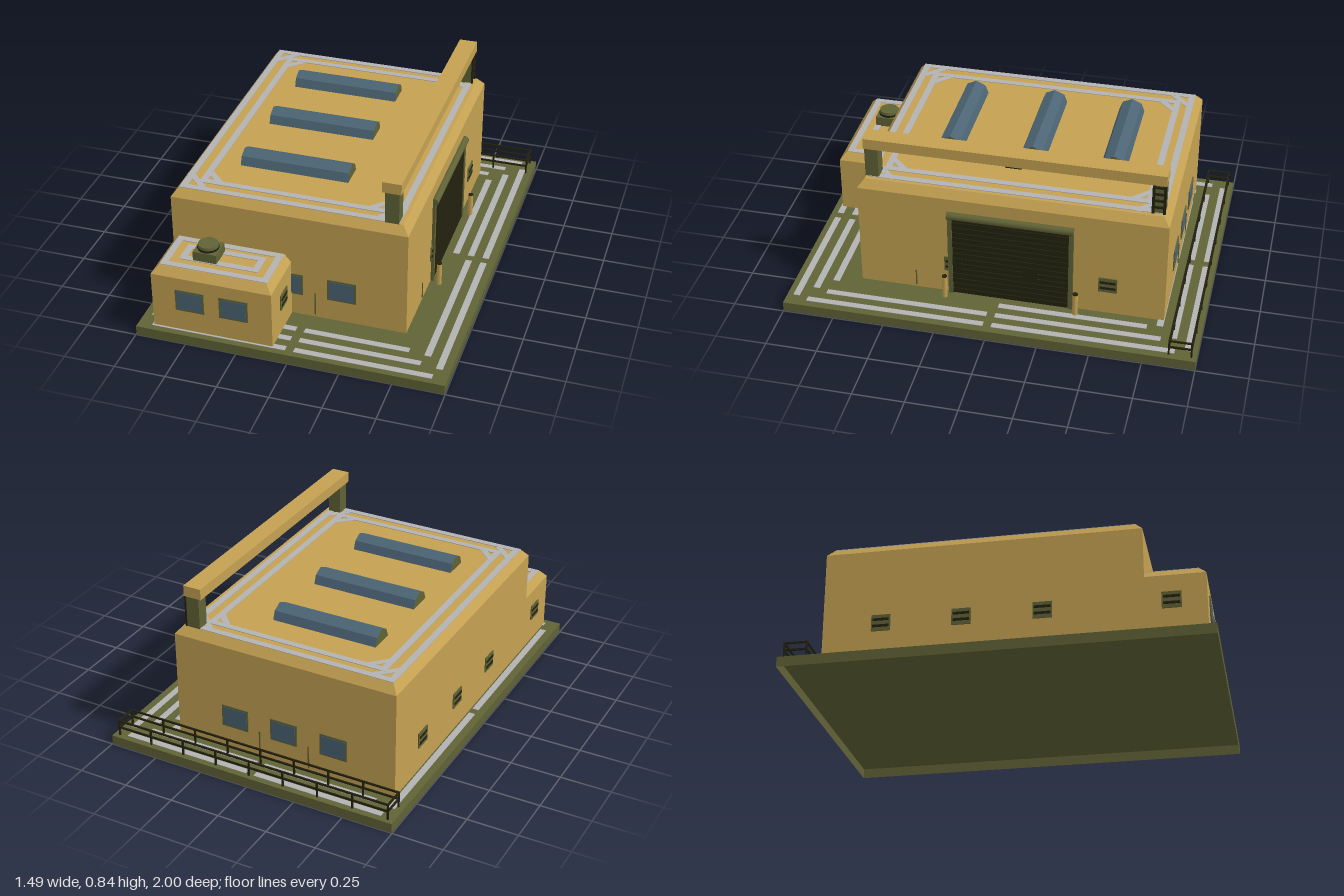
import * as THREE from 'three';

export function createModel() {
  const root = new THREE.Group();
  root.name = 'workshopBuilding';
  const mat = (name, color) => {
    const m = new THREE.MeshStandardMaterial({ color });
    m.name = name;
    return m;
  };
  const tan = mat('tanWall', 0xc4a152);
  const olive = mat('oliveTrim', 0x606236);
  const slabOlive = mat('oliveSlab', 0x606236);
  slabOlive.side = THREE.DoubleSide;
  const blue = mat('blueGlass', 0x4b6474);
  const grey = mat('greyPaint', 0xb2b2b2);
  const dark = mat('darkMetal', 0x22210e);

  const add = (name, geo, m, parent = root) => {
    const mesh = new THREE.Mesh(geo, m);
    mesh.name = name;
    parent.add(mesh);
    return mesh;
  };
  // box given by its limits
  const box = (name, m, x0, x1, y0, y1, z0, z1, parent = root) => {
    const g = new THREE.BoxGeometry(x1 - x0, y1 - y0, z1 - z0);
    g.translate((x0 + x1) / 2, (y0 + y1) / 2, (z0 + z1) / 2);
    return add(name, g, m, parent);
  };
  const group = (name) => {
    const g = new THREE.Group();
    g.name = name;
    root.add(g);
    return g;
  };
  // walls with a sloped roof edge
  const block = (name, x0, x1, y0, yEdge, y1, z0, z1, inset) => {
    const g = group(name);
    box(name + 'Walls', tan, x0, x1, y0, yEdge, z0, z1, g);
    const cap = new THREE.BoxGeometry(x1 - x0, y1 - yEdge, z1 - z0);
    const p = cap.attributes.position;
    for (let i = 0; i < p.count; i++) {
      if (p.getY(i) > 0) {
        p.setX(i, p.getX(i) - Math.sign(p.getX(i)) * inset);
        p.setZ(i, p.getZ(i) - Math.sign(p.getZ(i)) * inset);
      }
    }
    cap.computeVertexNormals();
    cap.translate((x0 + x1) / 2, (yEdge + y1) / 2, (z0 + z1) / 2);
    add(name + 'RoofEdge', cap, tan, g);
  };
  // flat painted rectangle outline
  const ring = (name, x0, x1, z0, z1, y, w = 0.032) => {
    const g = group(name), t = y + 0.003;
    box('stripe', grey, x0, x1, y, t, z0, z0 + w, g);
    box('stripe', grey, x0, x1, y, t, z1 - w, z1, g);
    box('stripe', grey, x0, x0 + w, y, t, z0 + w, z1 - w, g);
    box('stripe', grey, x1 - w, x1, y, t, z0 + w, z1 - w, g);
    return g;
  };

  // slab, hollow and open underneath
  const slab = new THREE.BoxGeometry(1.494, 0.0495, 2);
  const faces = Array.from(slab.index.array);
  faces.splice(18, 6);
  slab.setIndex(faces);
  slab.clearGroups();
  add('baseSlab', slab, slabOlive).position.y = 0.02475;

  // ground stripes: nested rows, each with a gap in the middle
  const ground = group('groundStripes');
  for (let i = 0; i < 3; i++) {
    const xo = 0.71 - i * 0.075, zo = 0.97 - i * 0.077;
    for (const s of [-1, 1]) {
      for (const h of [-1, 1]) {
        const xe = h * (xo - 0.032), ze = h * (zo - 0.075);
        box('crossStripe', grey, Math.min(h * 0.02, xe), Math.max(h * 0.02, xe), 0.05, 0.052,
          s * (zo - 0.016) - 0.016, s * (zo - 0.016) + 0.016, ground);
        if (i === 2 && s > 0 && h > 0) continue;
        box('longStripe', grey, s * (xo - 0.016) - 0.016, s * (xo - 0.016) + 0.016, 0.05, 0.052,
          Math.min(h * 0.02, ze), Math.max(h * 0.02, ze), ground);
      }
    }
  }

  // hall and annex
  block('hall', -0.67, 0.48, 0.05, 0.59, 0.63, -0.813, 0.68, 0.032);
  block('annex', -0.67, -0.082, 0.05, 0.34, 0.378, 0.62, 0.96, 0.032);

  // roof stripes
  ring('hallOuterStripes', -0.638, 0.43, -0.78, 0.648, 0.63);
  const inner = ring('hallInnerStripes', -0.565, 0.36, -0.715, 0.58, 0.63);
  for (const sx of [-1, 1]) {
    for (const sz of [-1, 1]) {
      for (const [dx, dz, len] of [[0.402, 0.59, 0.12], [0.478, 0.635, 0.15]]) {
        const d = box('cornerStripe', grey, -len / 2, len / 2, 0, 0.0025, -0.015, 0.015, inner);
        d.position.set(-0.1025 + sx * dx, 0.63, -0.0675 + sz * dz);
        d.rotation.y = sx * sz * Math.PI / 4;
      }
    }
  }
  ring('annexOuterStripes', -0.638, -0.112, 0.685, 0.925, 0.378);
  ring('annexInnerStripes', -0.568, -0.18, 0.737, 0.86, 0.378);

  // skylights: four glass facets between solid end walls
  const arch = new THREE.Shape([[-0.063, 0], [0.063, 0], [0.047, 0.042], [0, 0.063], [-0.047, 0.042]]
    .map(([a, b]) => new THREE.Vector2(a, b)));
  const skylight = new THREE.ExtrudeGeometry(arch, { depth: 0.535, bevelEnabled: false });
  skylight.rotateY(Math.PI / 2);
  for (const z of [-0.485, -0.09, 0.32]) {
    add('skylight', skylight, [olive, blue]).position.set(-0.43, 0.63, z);
  }

  // rooftop crane
  const crane = group('roofCrane');
  box('craneBeam', tan, 0.346, 0.437, 0.788, 0.842, -0.785, 0.652, crane);
  box('frontPost', olive, 0.36, 0.427, 0.63, 0.788, 0.585, 0.65, crane);
  box('backPost', olive, 0.36, 0.427, 0.63, 0.788, -0.782, -0.722, crane);
  box('hoist', dark, 0.372, 0.41, 0.764, 0.788, -0.105, -0.025, crane);
  for (const z of [-0.785, -0.732]) box('ladderRail', dark, 0.427, 0.435, 0.63, 0.788, z, z + 0.013, crane);
  for (let y = 0.66; y < 0.78; y += 0.036) {
    box('ladderRung', dark, 0.427, 0.435, y, y + 0.01, -0.782, -0.722, crane);
  }

  // roof fan on the annex
  box('fanHousing', olive, -0.5, -0.385, 0.378, 0.428, 0.742, 0.855);
  add('fanRim', new THREE.CylinderGeometry(0.052, 0.052, 0.01, 16), dark).position.set(-0.443, 0.433, 0.798);
  add('fanCap', new THREE.CylinderGeometry(0.048, 0.05, 0.014, 16), olive).position.set(-0.443, 0.445, 0.798);

  // roller door
  const door = group('rollerDoor');
  box('doorPanel', dark, 0.475, 0.484, 0.05, 0.5, -0.35, 0.217, door);
  for (let y = 0.053; y < 0.48; y += 0.03) {
    box('doorSlat', dark, 0.484, 0.49, y, y + 0.025, -0.35, 0.217, door);
  }
  for (const z of [-0.37, 0.217]) box('doorJamb', olive, 0.475, 0.494, 0.05, 0.5, z, z + 0.022, door);
  const drum = add('doorDrum', new THREE.CylinderGeometry(0.019, 0.019, 0.61, 12), olive, door);
  drum.rotation.x = Math.PI / 2;
  drum.position.set(0.489, 0.505, -0.065);

  // bollards
  for (const z of [-0.39, 0.25]) {
    add('bollard', new THREE.CylinderGeometry(0.013, 0.013, 0.118, 12), tan).position.set(0.525, 0.109, z);
    add('bollardCap', new THREE.CylinderGeometry(0.013, 0.013, 0.005, 12), dark).position.set(0.525, 0.17, z);
  }

  // windows, s is the side they face along z
  const windowAt = (x, z, s) => {
    const g = group('window');
    g.position.set(x, 0.22, z);
    if (s < 0) g.rotation.y = Math.PI;
    box('windowFrame', olive, -0.07, 0.07, -0.056, 0.056, -0.002, 0.005, g);
    box('windowGlass', blue, -0.062, 0.062, -0.048, 0.048, 0, 0.0065, g);
  };
  for (const x of [-0.355, -0.095, 0.165]) {
    windowAt(x, -0.813, -1);
    if (x > -0.2) windowAt(x, 0.68, 1);
  }
  for (const x of [-0.483, -0.268]) windowAt(x, 0.96, 1);

  // louvred vents, s is the side they face along x
  const ventAt = (x, z, s) => {
    const g = group('vent');
    g.position.set(x, 0.216, z);
    if (s < 0) g.rotation.y = Math.PI;
    box('ventFrame', olive, -0.002, 0.006, -0.04, 0.04, -0.045, 0.045, g);
    for (const y of [-0.016, 0.016]) box('ventSlot', dark, 0, 0.009, y - 0.006, y + 0.006, -0.038, 0.038, g);
  };
  for (const z of [-0.537, -0.16, 0.215]) {
    ventAt(0.48, z, 1);
    ventAt(-0.67, z, -1);
  }
  ventAt(-0.082, 0.8, 1);
  ventAt(-0.67, 0.8, -1);

  // thin wall conduits
  for (const x of [-0.225, 0.035]) {
    box('conduit', olive, x - 0.003, x + 0.003, 0.065, 0.185, -0.817, -0.81);
  }
  box('conduit', olive, 0.032, 0.038, 0.065, 0.185, 0.678, 0.684);
  box('conduit', olive, 0.478, 0.484, 0.065, 0.15, 0.4, 0.406);

  // railing along the back edge
  const rail = group('backRailing'), r = 0.004;
  for (const z of [-0.976, -0.87]) {
    for (const y of [0.093, 0.128]) box('rail', dark, -0.72, 0.72, y - r, y + r, z - r, z + r, rail);
    for (let i = 0; i <= 8; i++) {
      const x = -0.7165 + i * 1.433 / 8;
      box('railPost', dark, x - r, x + r, 0.05, 0.128, z - r, z + r, rail);
    }
  }
  for (const x of [-0.7165, 0.7165]) {
    for (const y of [0.093, 0.128]) box('endRail', dark, x - r, x + r, y - r, y + r, -0.976, -0.87, rail);
  }
  return root;
}
